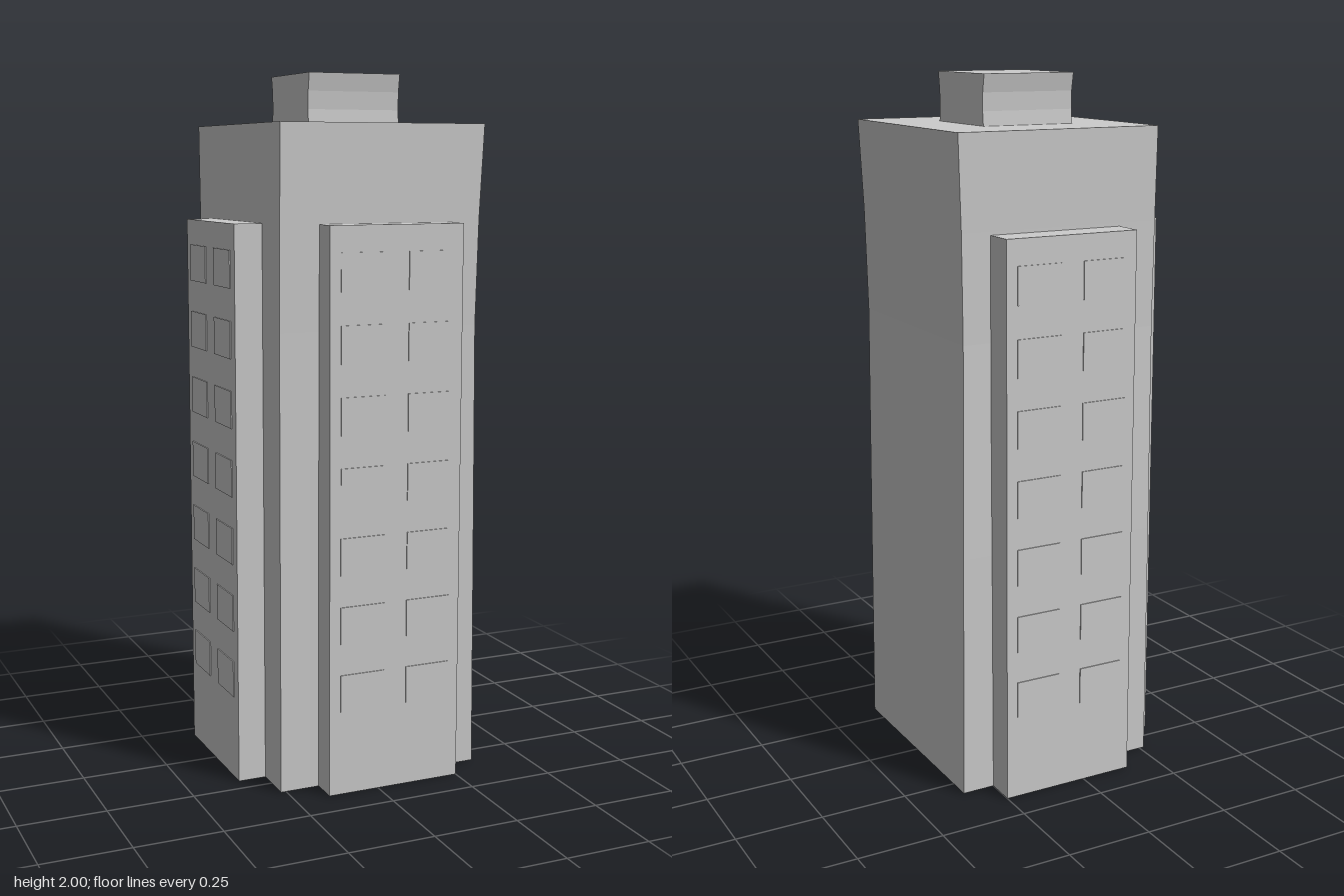
import * as THREE from 'three';

const material = new THREE.MeshStandardMaterial({
  color: 0xcccccc, flatShading: true, side: THREE.DoubleSide,
});

// Four-sided shell, open below, through sections [y, xMin, xMax, zMin, zMax] from bottom to top.
function shell(name, sections) {
  const pos = [], index = [];
  for (const [y, x0, x1, z0, z1] of sections) {
    pos.push(x0, y, z1, x1, y, z1, x1, y, z0, x0, y, z0);
  }
  for (let s = 0; s < sections.length - 1; s++) {
    for (let i = 0; i < 4; i++) {
      const a = s * 4 + i, b = s * 4 + (i + 1) % 4;
      index.push(a, b, b + 4, a, b + 4, a + 4);
    }
  }
  const t = (sections.length - 1) * 4;
  index.push(t, t + 1, t + 2, t, t + 2, t + 3);
  const indexed = new THREE.BufferGeometry();
  indexed.setAttribute('position', new THREE.Float32BufferAttribute(pos, 3));
  indexed.setIndex(index);
  const geometry = indexed.toNonIndexed();
  geometry.computeVertexNormals();
  const mesh = new THREE.Mesh(geometry, material);
  mesh.name = name;
  return mesh;
}

// Projecting bay facing local +z, with two columns of seven shallow windows.
function bay(name, inner, outer) {
  const group = new THREE.Group();
  group.name = name;
  group.add(shell(name + 'Wall', [
    [0, -0.2, 0.2, inner, outer],
    [1.59, -0.2, 0.2, inner, outer],
  ]));
  const pane = new THREE.BoxGeometry(0.133, 0.105, 0.006);
  for (let row = 0; row < 7; row++) {
    for (const side of [-1, 1]) {
      const window = new THREE.Mesh(pane, material);
      window.name = 'window';
      window.position.set(side * 0.101, 1.465 - row * 0.195, outer);
      group.add(window);
    }
  }
  return group;
}

export function createModel() {
  const model = new THREE.Group();
  model.name = 'tower';

  // Main block with slightly hollowed walls
  model.add(shell('mainBlock', [
    [0, -0.265, 0.345, -0.316, 0.322],
    [0.7, -0.265, 0.338, -0.314, 0.323],
    [1.3, -0.265, 0.331, -0.309, 0.325],
    [1.6, -0.265, 0.336, -0.314, 0.33],
    [1.86, -0.265, 0.347, -0.321, 0.335],
  ]));

  // Roof housing, pinched at mid height
  model.add(shell('roofHousing', [
    [1.86, -0.1, 0.178, -0.136, 0.136],
    [1.9, -0.1, 0.178, -0.132, 0.132],
    [1.95, -0.1, 0.178, -0.133, 0.134],
    [2, -0.1, 0.178, -0.142, 0.142],
  ]));

  // Bays on three sides; the left wall stays plain
  const front = bay('frontBay', 0.323, 0.4);
  front.position.x = 0.05;
  const back = bay('backBay', 0.312, 0.402);
  back.position.x = 0.05;
  back.rotation.y = Math.PI;
  const right = bay('rightBay', 0.265, 0.346);
  right.rotation.y = -Math.PI / 2;
  model.add(front, back, right);
  return model;
}
